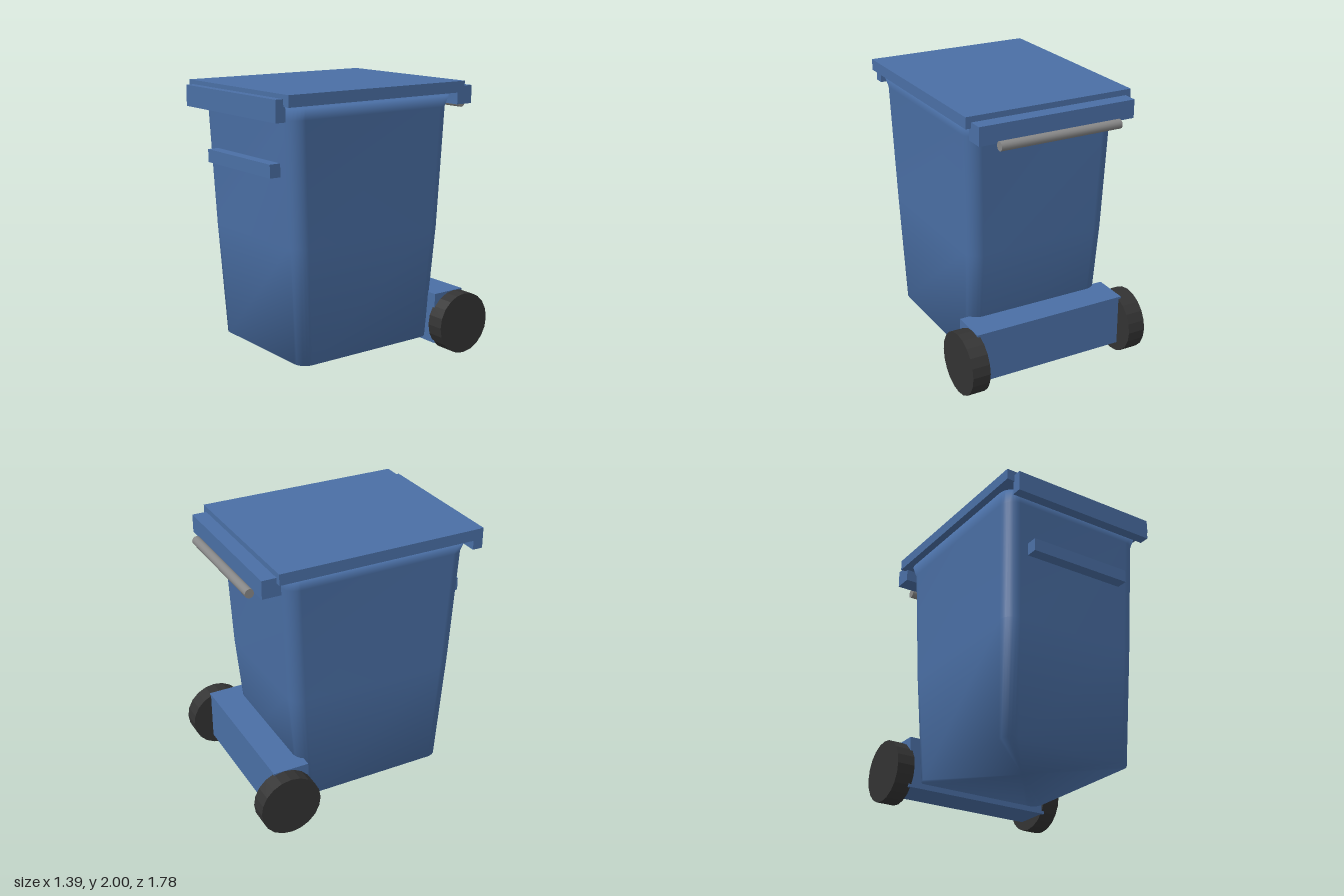
import * as THREE from 'three';

const mat = (name, color) => {
  const m = new THREE.MeshStandardMaterial({ color });
  m.name = name;
  return m;
};

// Rounded-rectangle loft with shared vertices, capped at both ends.
// Each section is [y, halfWidth, zBack, zFront, cornerRadius].
function loftBin(sections, cornerSteps = 6) {
  const pos = [], index = [];
  const n = 4 * (cornerSteps + 1);
  const signs = [[1, 1], [-1, 1], [-1, -1], [1, -1]];
  for (const [y, w, zb, zf, r] of sections) {
    const zc = (zb + zf) / 2, d = (zf - zb) / 2;
    signs.forEach(([sx, sz], c) => {
      for (let k = 0; k <= cornerSteps; k++) {
        const a = (c + k / cornerSteps) * Math.PI / 2;
        pos.push(sx * (w - r) + r * Math.cos(a), y, zc + sz * (d - r) + r * Math.sin(a));
      }
    });
  }
  const last = sections.length - 1;
  for (let i = 0; i < last; i++) {
    for (let j = 0; j < n; j++) {
      const a = i * n + j, b = i * n + (j + 1) % n;
      index.push(a, a + n, b, b, a + n, b + n);
    }
  }
  // end caps
  const centre = pos.length / 3;
  for (const s of [sections[0], sections[last]]) pos.push(0, s[0], (s[2] + s[3]) / 2);
  for (let j = 0; j < n; j++) {
    const k = (j + 1) % n;
    index.push(centre, j, k, centre + 1, last * n + k, last * n + j);
  }
  const g = new THREE.BufferGeometry();
  g.setAttribute('position', new THREE.Float32BufferAttribute(pos, 3));
  g.setIndex(index);
  g.computeVertexNormals();
  return g;
}

export function createModel() {
  const group = new THREE.Group();
  group.name = 'wheeledBin';
  const blue = mat('blue plastic', 0x4a6fa5);
  const rubber = mat('black rubber', 0x333333);
  const metal = mat('grey metal', 0x888888);

  const add = (name, geometry, material, x = 0, y = 0, z = 0) => {
    const m = new THREE.Mesh(geometry, material);
    m.name = name;
    m.position.set(x, y, z);
    group.add(m);
    return m;
  };
  // box centred on x, given by half width and its y and z limits
  const box = (name, hw, y0, y1, z0, z1) =>
    add(name, new THREE.BoxGeometry(2 * hw, y1 - y0, z1 - z0), blue, 0, (y0 + y1) / 2, (z0 + z1) / 2);

  // tapered body with a flared rim
  add('body', loftBin([
    [0.12, 0.513, -0.49, 0.662, 0.09],
    [0.95, 0.541, -0.565, 0.718, 0.1],
    [1.82, 0.567, -0.602, 0.757, 0.1],
    [1.9, 0.587, -0.622, 0.778, 0.1],
  ]), blue);

  // lid, its front lip and the hinge block
  box('lid', 0.625, 1.92, 2.0, -0.68, 0.83);
  box('lidLip', 0.567, 1.82, 1.97, 0.815, 0.89);
  box('hingeBlock', 0.585, 1.83, 1.96, -0.785, -0.65);

  // front grip bar and axle housing
  box('gripBar', 0.395, 1.432, 1.525, 0.7, 0.825);
  box('axleHousing', 0.585, 0.08, 0.455, -0.74, -0.475);

  // rear handle rod
  const rod = new THREE.CylinderGeometry(0.033, 0.033, 0.91, 16);
  rod.rotateZ(Math.PI / 2);
  add('handleRod', rod, metal, 0, 1.82, -0.813);

  // wheels, faceted by splitting the vertices
  let wheel = new THREE.CylinderGeometry(0.227, 0.227, 0.132, 20).toNonIndexed();
  wheel.rotateZ(Math.PI / 2);
  wheel.computeVertexNormals();
  for (const s of [1, -1]) add(s > 0 ? 'leftWheel' : 'rightWheel', wheel, rubber, s * 0.631, 0.227, -0.663);

  return group;
}
